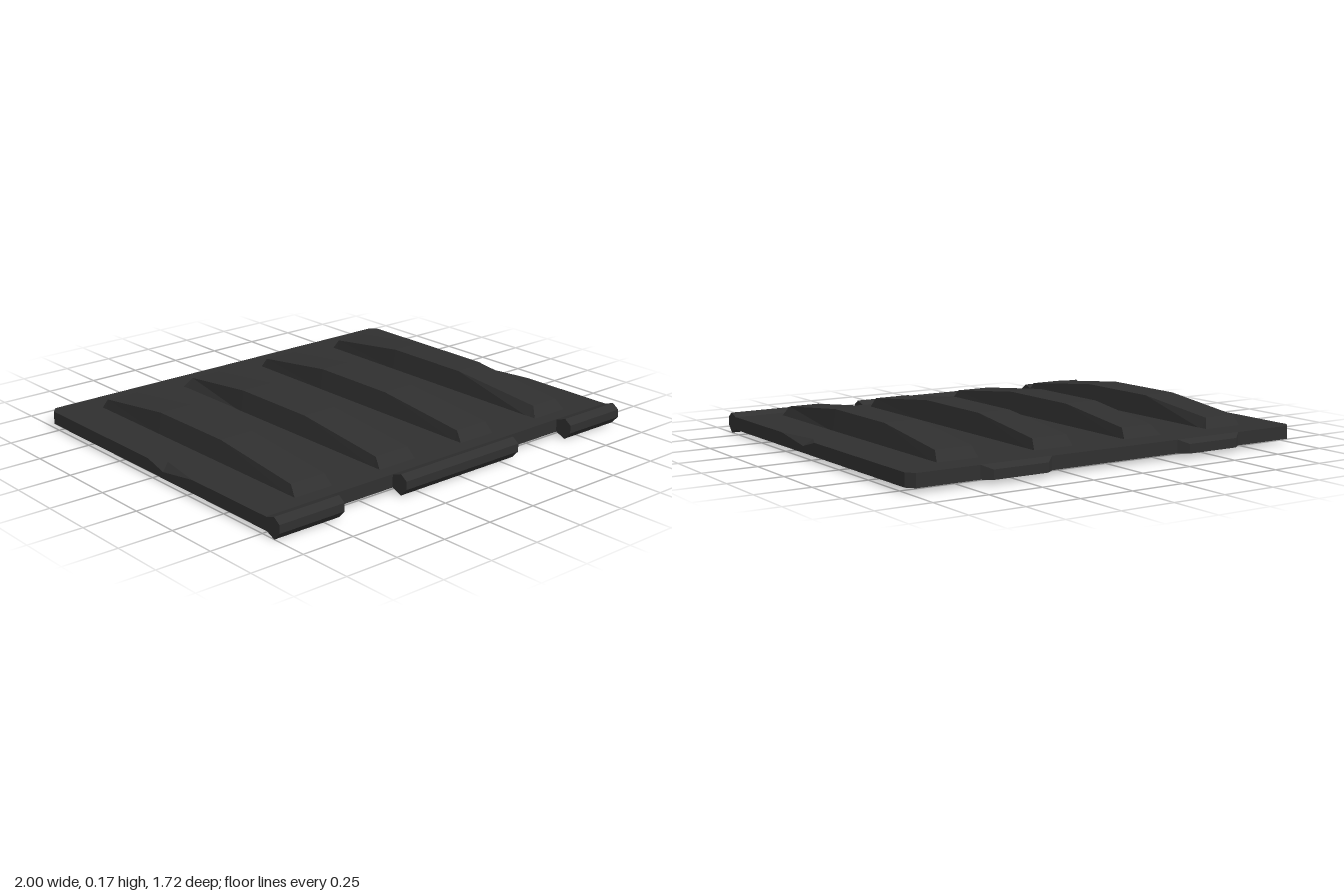
import * as THREE from 'three';

// Closed faceted solid through rings of [x, y, z]; each ring runs
// counterclockwise as seen from the end of the loft, ends capped by fans.
function loft(rings) {
  const pos = [];
  const n = rings[0].length;
  const tri = (a, b, c) => pos.push(...a, ...b, ...c);
  const middle = (ring) =>
    new THREE.Box3().setFromPoints(ring.map((p) => new THREE.Vector3(...p)))
      .getCenter(new THREE.Vector3()).toArray();
  const first = rings[0];
  const last = rings[rings.length - 1];
  const m0 = middle(first);
  const m1 = middle(last);
  for (let j = 0; j < n; j++) {
    const k = (j + 1) % n;
    tri(m0, first[k], first[j]);
    tri(m1, last[j], last[k]);
    for (let i = 0; i + 1 < rings.length; i++) {
      const a = rings[i];
      const b = rings[i + 1];
      tri(a[j], a[k], b[k]);
      tri(a[j], b[k], b[j]);
    }
  }
  const geo = new THREE.BufferGeometry();
  geo.setAttribute('position', new THREE.Float32BufferAttribute(pos, 3));
  geo.computeVertexNormals();
  return geo;
}

export function createModel() {
  const model = new THREE.Group();
  model.name = 'ribbedTrackPlate';
  const darkMetal = new THREE.MeshStandardMaterial({ color: 0x303030, flatShading: true });
  darkMetal.name = 'darkMetal';
  const add = (name, geo) => {
    const mesh = new THREE.Mesh(geo, darkMetal);
    mesh.name = name;
    model.add(mesh);
  };

  // Plate: half outline [x, z, shoulder height, top x, top z], then mirrored.
  // It includes the chipped side edge, cut rear corner and chamfered rear tab.
  const low = 0.02;
  const top = 0.08;
  const half = [
    [1, 0.775, top, 1, 0.775],
    [1, 0.29, top, 1, 0.29],
    [1, 0.08, 0.05, 0.96, 0.06],
    [1, -0.03, top, 1, -0.03],
    [1, -0.79, top, 1, -0.79],
    [0.97, -0.825, top, 0.97, -0.825],
    [0.675, -0.825, top, 0.675, -0.825],
    [0.635, -0.858, 0.062, 0.645, -0.825],
    [0.37, -0.858, 0.062, 0.36, -0.825],
    [0.33, -0.825, top, 0.33, -0.825],
  ];
  const outline = [
    ...half,
    ...half.map(([x, z, y, tx, tz]) => [-x, z, y, -tx, tz]).reverse(),
  ];
  add('plate', loft([
    outline.map(([x, z]) => [x, low, z]),
    outline.map(([x, z, y]) => [x, y, z]),
    outline.map(([, , , tx, tz]) => [tx, top, tz]),
  ]));

  // Hinge knuckles along the front edge: six-sided bars
  const hex = [[0.858, 0.035], [0.825, 0], [0.775, 0.022],
    [0.775, 0.078], [0.825, 0.095], [0.858, 0.072]];
  [['rightKnuckle', -1, -0.67], ['middleKnuckle', -0.335, 0.33], ['leftKnuckle', 0.67, 1]]
    .forEach(([name, x0, x1]) =>
      add(name, loft([x0, x1].map((x) => hex.map(([z, y]) => [x, y, z])))));

  // Raised ribs: sections [z, top height, side inset], back to front
  const sections = [[-0.69, 0.08, 0], [-0.66, 0.125, 0.01], [-0.24, 0.175, 0.016],
    [0.2, 0.175, 0.016], [0.67, 0.125, 0.01], [0.705, 0.08, 0]];
  // Each rib: base x range, and worn corners as {section: [left, right] extra inset}
  const ribs = [
    [-0.8, -0.605, { 1: [0, 0.015] }],
    [-0.345, -0.145, { 1: [0.022, 0] }],
    [0.13, 0.325, {}],
    [0.6, 0.795, { 4: [0.018, 0.01] }],
  ];
  ribs.forEach(([x0, x1, wear], r) => {
    const rings = sections.map(([z, y, inset], i) => {
      const [a, b] = wear[i] || [0, 0];
      return [[x0, 0.075, z], [x1, 0.075, z],
        [x1 - inset - b, y, z], [x0 + inset + a, y, z]];
    });
    add(`rib${r + 1}`, loft(rings));
  });

  return model;
}
